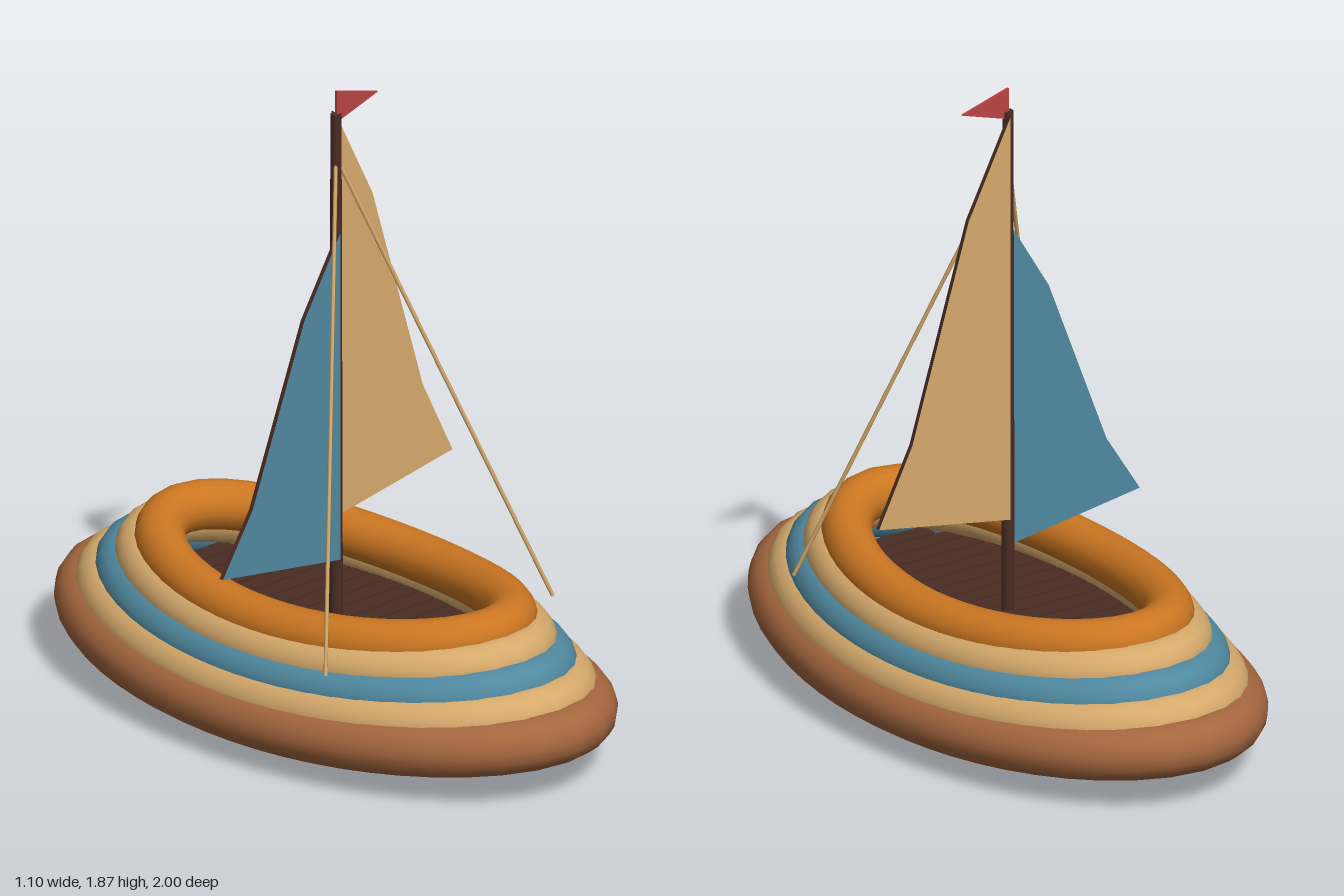
import * as THREE from 'three';

const mat = (name, color, side = THREE.FrontSide) => {
  const m = new THREE.MeshStandardMaterial({ color, side });
  m.name = name;
  return m;
};

// Closed oval whose ends rise, like the sheer of a boat
class SheerOval extends THREE.Curve {
  constructor(rx, rz, y, rise) {
    super();
    Object.assign(this, { rx, rz, y, rise });
  }
  getPoint(t, target = new THREE.Vector3()) {
    const a = t * Math.PI * 2, s = Math.sin(a);
    return target.set(this.rx * Math.cos(a), this.y + this.rise * s * s, this.rz * s);
  }
}

export function createModel() {
  const boat = new THREE.Group();
  boat.name = 'sailboat';
  const brown = mat('brown', 0xa5673f);
  const tan = mat('tan', 0xd6aa6c);
  const blue = mat('blue', 0x5089a0);
  const orange = mat('orange', 0xcc7722);
  const wood = mat('darkWood', 0x4a2c23, THREE.DoubleSide);
  const red = mat('red', 0xb84542);

  const add = (name, geometry, material, parent = boat) => {
    const m = new THREE.Mesh(geometry, material);
    m.name = name;
    parent.add(m);
    return m;
  };

  // Stacked hull rings: outer half width, outer half length, centre height, tube radius
  [
    ['bottomRing', 0.55, 1.0, 0.128, 0.079, brown],
    ['lowerTanRing', 0.512, 0.925, 0.183, 0.077, tan],
    ['blueRing', 0.475, 0.853, 0.239, 0.075, blue],
    ['upperTanRing', 0.437, 0.782, 0.297, 0.073, tan],
    ['topRing', 0.40, 0.71, 0.357, 0.072, orange],
  ].forEach(([name, x, z, y, r, m]) =>
    add(name, new THREE.TubeGeometry(new SheerOval(x - r, z - r, y, 0.05), 48, r, 16, true), m));

  // Shallow bowl under the rings
  const bowl = new THREE.SphereGeometry(1, 32, 10, 0, Math.PI * 2, Math.PI / 2, Math.PI / 2);
  bowl.scale(0.43, 0.13, 0.81);
  add('hullBottom', bowl, wood).position.y = 0.133;

  // Deck planks, each cut to the oval inside the rings
  const deck = new THREE.Group();
  deck.name = 'deck';
  boat.add(deck);
  const pitch = 0.066;
  for (let i = -9; i <= 9; i++) {
    const z = i * pitch;
    const half = 0.34 * Math.sqrt(1 - (z / 0.66) ** 2);
    add('plank', new THREE.BoxGeometry(half * 2, 0.025, pitch - 0.008), wood, deck)
      .position.set(0, 0.26, z);
  }

  // Mast
  add('mast', new THREE.CylinderGeometry(0.016, 0.02, 1.54, 10), wood).position.y = 1.03;

  // Flat panel from outline points, with dark edges
  const panel = (name, pts, z, depth, face, edge) => {
    const shape = new THREE.Shape(pts.map(([x, y]) => new THREE.Vector2(x, y)));
    const g = new THREE.ExtrudeGeometry(shape, { depth, bevelEnabled: false });
    add(name, g, [face, edge]).position.z = z - depth / 2;
  };
  panel('mainSail', [[0.015, 0.56], [0.47, 0.64], [0.355, 0.87], [0.16, 1.51], [0.015, 1.795]],
    -0.027, 0.014, tan, wood);
  panel('foreSail', [[-0.015, 0.455], [-0.015, 1.45], [-0.155, 1.22], [-0.355, 0.7], [-0.47, 0.52]],
    0.027, 0.014, blue, wood);
  panel('flag', [[0, 1.775], [0.16, 1.825], [0, 1.87]], 0, 0.008, red, red);

  // Stays from the masthead to the rings
  for (const s of [-1, 1]) {
    const path = new THREE.LineCurve3(new THREE.Vector3(0, 1.67, 0), new THREE.Vector3(s * 0.44, 0.335, 0.425));
    add(s > 0 ? 'leftStay' : 'rightStay', new THREE.TubeGeometry(path, 1, 0.006, 6), tan);
  }
  return boat;
}
